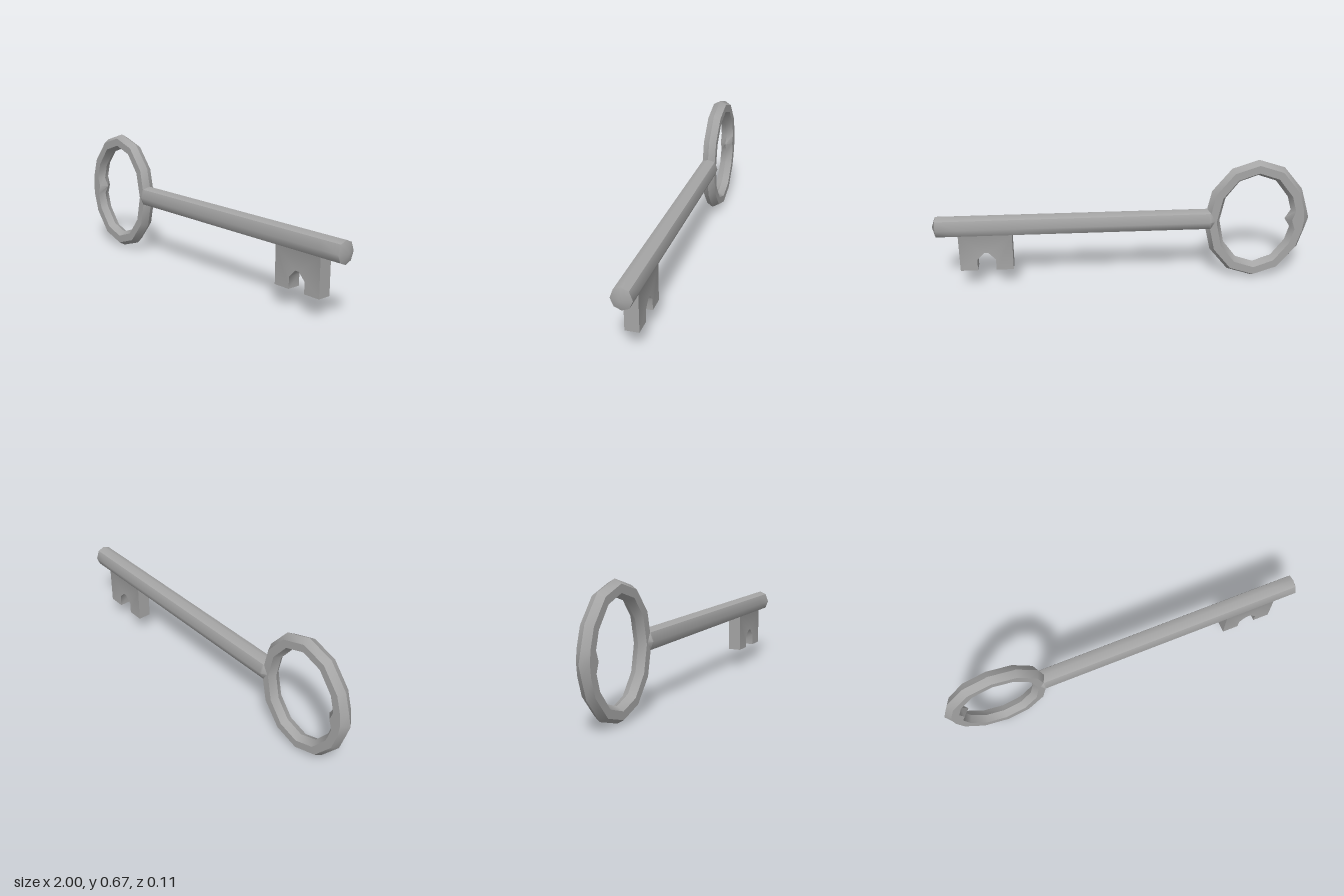
import * as THREE from 'three';
import { mergeGeometries, toCreasedNormals } from 'three/addons/utils/BufferGeometryUtils.js';

const AXIS_Y = 0.336;
const CREASE = THREE.MathUtils.degToRad(46);
const material = new THREE.MeshStandardMaterial({ color: 0xa5a5a5 });

// Skins a list of equal-length point loops; optionally joins the last loop to the first
function loft(sections, closed) {
  const n = sections[0].length;
  const index = [];
  const spans = closed ? sections.length : sections.length - 1;
  for (let i = 0; i < spans; i++) {
    const next = (i + 1) % sections.length;
    for (let j = 0; j < n; j++) {
      const k = (j + 1) % n;
      const a = i * n + j, b = next * n + j, c = next * n + k, d = i * n + k;
      index.push(a, c, b, a, d, c);
    }
  }
  const geometry = new THREE.BufferGeometry();
  geometry.setAttribute('position', new THREE.Float32BufferAttribute(sections.flat(2), 3));
  geometry.setIndex(index);
  return geometry.toNonIndexed();
}

// Smooth shading with the sharper edges kept
function part(name, geometry) {
  const mesh = new THREE.Mesh(toCreasedNormals(geometry, CREASE), material);
  mesh.name = name;
  return mesh;
}

// Oval ring of hexagonal section, swelling to a small point opposite the shaft
function bowGeometry() {
  const angles = [0, 30, 60, 90, 120, 150, 169, 180, 191, 210, 240, 270, 300, 330];
  const sections = angles.map((deg) => {
    const t = THREE.MathUtils.degToRad(deg);
    const swell = deg === 180;
    const rx = swell ? 0.225 : 0.235;
    const thick = swell ? 0.065 : 0.042;
    const loop = [];
    for (let j = 0; j < 6; j++) {
      const a = (-j * Math.PI) / 3;
      const d = thick * Math.cos(a);
      loop.push([
        -0.71 + (rx + d) * Math.cos(t),
        AXIS_Y + (0.294 + d) * Math.sin(t),
        0.036 * Math.sin(a) / Math.sin(Math.PI / 3),
      ]);
    }
    return loop;
  });
  return loft(sections, true);
}

// Octagonal bar: flares out of the bow and ends in a shallow point
function shaftGeometry() {
  const profile = [
    [0.403, 0], [0.388, 0.036], [0.343, 0.053], [0.302, 0.036],
    [0.287, 0], [0.302, -0.036], [0.343, -0.053], [0.388, -0.036],
  ];
  const stations = [
    [-0.49, 0.66], [-0.465, 1], [-0.455, 1], [0.585, 1], [0.865, 1], [0.978, 1], [0.998, 0],
  ];
  const sections = stations.map(([x, s]) =>
    profile.map(([y, z]) => [x, 0.345 + (y - 0.345) * s, z * s]));
  return loft(sections, false);
}

// Flat tooth plate with a notch, meeting the lower corners of the shaft
function bitGeometry() {
  const outline = [
    [0.585, 0.302], [0.585, 0.102], [0.676, 0.102], [0.676, 0.163], [0.713, 0.202],
    [0.737, 0.202], [0.774, 0.163], [0.774, 0.102], [0.865, 0.102], [0.865, 0.302],
  ];
  const shape = new THREE.Shape(outline.map(([x, y]) => new THREE.Vector2(x, y)));
  const geometry = new THREE.ExtrudeGeometry(shape, { depth: 0.072, bevelEnabled: false });
  geometry.deleteAttribute('normal');
  geometry.deleteAttribute('uv');
  return geometry.translate(0, 0, -0.036);
}

export function createModel() {
  const key = new THREE.Group();
  key.name = 'key';
  key.add(
    part('bow', bowGeometry()),
    part('shaftWithBit', mergeGeometries([shaftGeometry(), bitGeometry()])),
  );
  return key;
}
